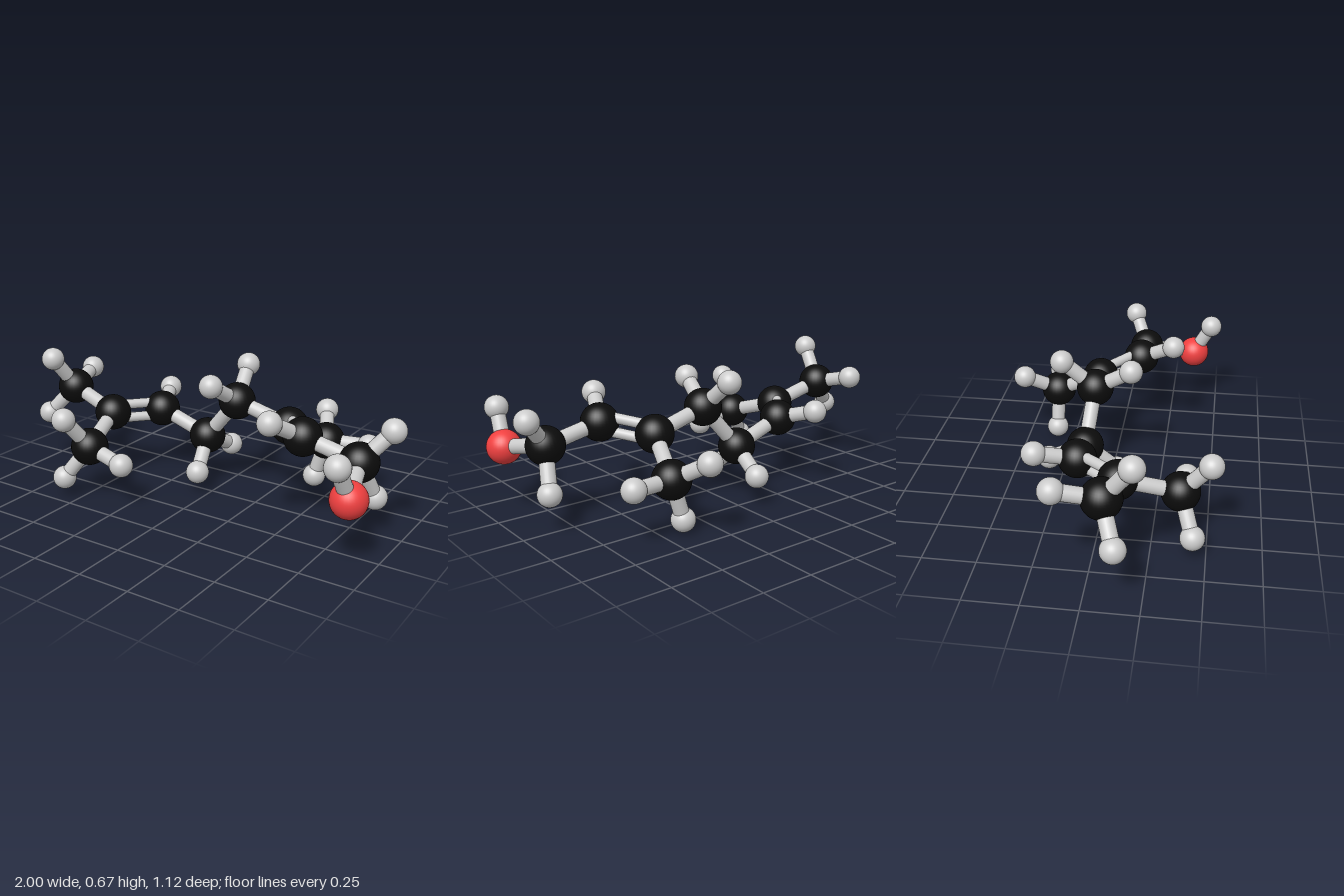
import * as THREE from 'three';

const BOND_RADIUS = 0.036;
const UP = new THREE.Vector3(0, 1, 0);

// Atom styles: radius and colour
const styles = {
  carbon: { radius: 0.09, color: 0x0c0c0c },
  oxygen: { radius: 0.082, color: 0xf04040 },
  hydrogen: { radius: 0.057, color: 0xcccccc },
};

// Backbone atoms, each with its own hydrogens
const backbone = {
  endMethyl: { at: [-0.81, 0.435, 0.067], h: [[-0.842, 0.605, 0.193], [-0.945, 0.283, 0.131], [-0.858, 0.485, -0.131]] },
  branchA: { at: [-0.537, 0.35, 0.1], h: [] },
  sideMethylA: { at: [-0.465, 0.265, 0.373], h: [[-0.58, 0.1, 0.437], [-0.505, 0.43, 0.503], [-0.26, 0.217, 0.391]] },
  alkeneA: { at: [-0.375, 0.343, -0.104], h: [[-0.452, 0.4, -0.289]] },
  chainA: { at: [-0.1, 0.247, -0.112], h: [[-0.072, 0.148, -0.298], [-0.061, 0.106, 0.04]] },
  chainB: { at: [0.088, 0.47, -0.088], h: [[0.056, 0.613, -0.246], [0.051, 0.581, 0.091]] },
  branchB: { at: [0.372, 0.394, -0.1], h: [] },
  sideMethylB: { at: [0.453, 0.26, -0.341], h: [[0.372, 0.359, -0.508], [0.666, 0.266, -0.37], [0.393, 0.06, -0.342]] },
  alkeneB: { at: [0.543, 0.435, 0.096], h: [[0.468, 0.532, 0.268]] },
  endCarbon: { at: [0.82, 0.375, 0.1], h: [[0.939, 0.519, 0.026], [0.862, 0.183, 0]] },
  oxygen: { at: [0.896, 0.318, 0.363], h: [[0.88, 0.485, 0.454]] },
};

// Bonds between backbone atoms; the third entry marks a double bond
const bonds = [
  ['endMethyl', 'branchA'], ['branchA', 'sideMethylA'], ['branchA', 'alkeneA', true],
  ['alkeneA', 'chainA'], ['chainA', 'chainB'], ['chainB', 'branchB'],
  ['branchB', 'sideMethylB'], ['branchB', 'alkeneB', true],
  ['alkeneB', 'endCarbon'], ['endCarbon', 'oxygen'],
];

export function createModel() {
  const group = new THREE.Group();
  const kit = {};
  for (const [kind, { radius, color }] of Object.entries(styles)) {
    kit[kind] = {
      geometry: new THREE.SphereGeometry(radius, 32, 24),
      material: new THREE.MeshStandardMaterial({ color }),
    };
  }
  const bondMaterial = new THREE.MeshStandardMaterial({ color: 0xcccccc });

  function addAtom(kind, at, name) {
    const mesh = new THREE.Mesh(kit[kind].geometry, kit[kind].material);
    mesh.position.copy(at);
    mesh.name = name;
    group.add(mesh);
  }

  function addBond(a, b, radius, name) {
    const mesh = new THREE.Mesh(
      new THREE.CylinderGeometry(radius, radius, a.distanceTo(b), 24), bondMaterial);
    mesh.position.copy(a).lerp(b, 0.5);
    mesh.quaternion.setFromUnitVectors(UP, b.clone().sub(a).normalize());
    mesh.name = name;
    group.add(mesh);
  }

  // Atoms with their hydrogens
  const points = {};
  for (const [name, { at, h }] of Object.entries(backbone)) {
    const p = points[name] = new THREE.Vector3(...at);
    addAtom(name === 'oxygen' ? 'oxygen' : 'carbon', p, name + 'Atom');
    h.forEach((pos, i) => {
      const q = new THREE.Vector3(...pos);
      addAtom('hydrogen', q, `${name}Hydrogen${i + 1}`);
      addBond(p, q, BOND_RADIUS, `${name}HydrogenBond${i + 1}`);
    });
  }

  // Single bonds, and double bonds as two thinner parallel rods
  for (const [from, to, double] of bonds) {
    const a = points[from], b = points[to];
    if (!double) {
      addBond(a, b, BOND_RADIUS, `${from}Bond`);
      continue;
    }
    const dir = b.clone().sub(a).normalize();
    const offset = new THREE.Vector3(-0.17, 1, -0.14);
    offset.addScaledVector(dir, -offset.dot(dir)).setLength(0.034);
    for (const s of [1, -1]) {
      const shift = offset.clone().multiplyScalar(s);
      addBond(a.clone().add(shift), b.clone().add(shift), 0.025, `${from}DoubleBond`);
    }
  }
  return group;
}
